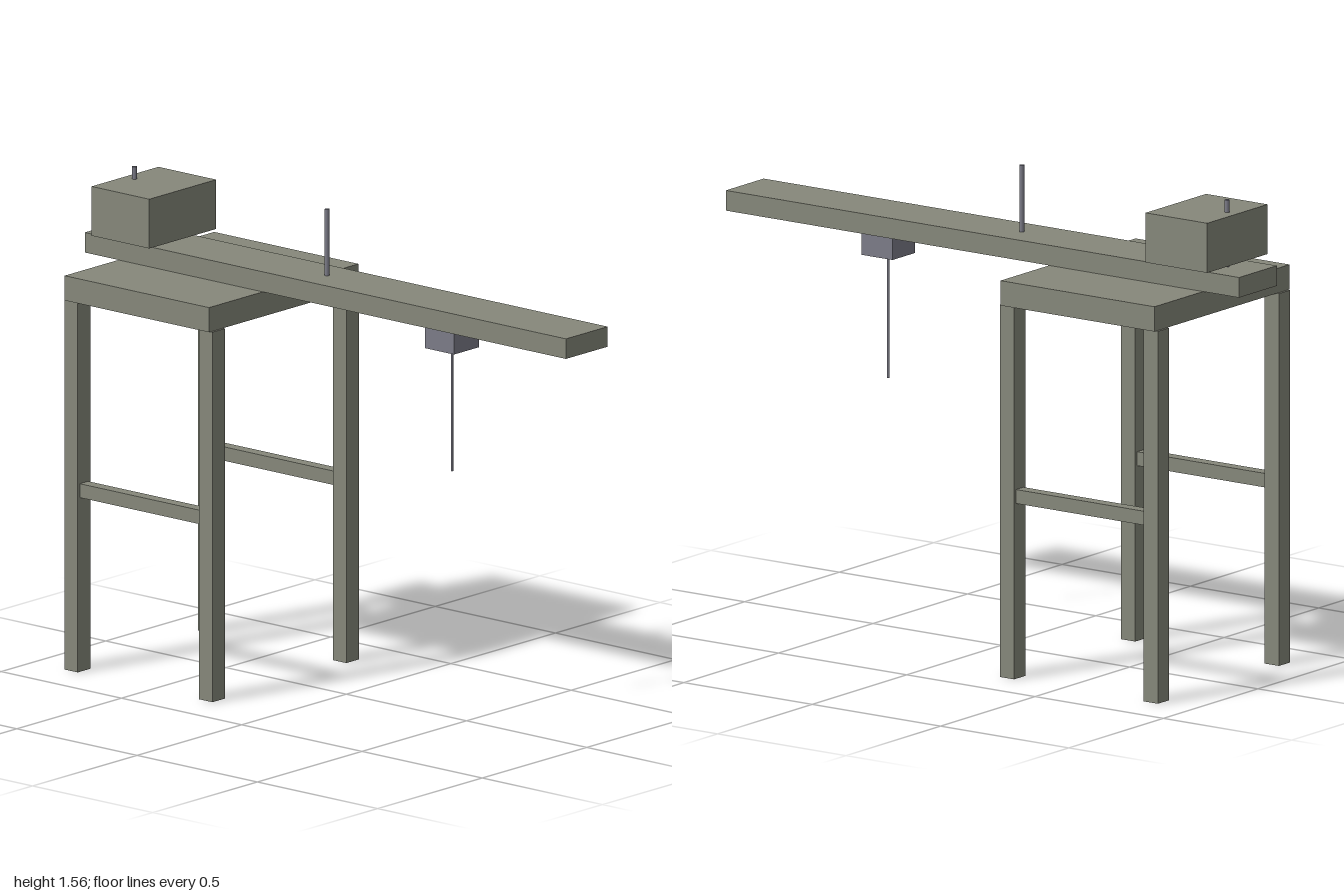
import * as THREE from 'three';

const wood = new THREE.MeshStandardMaterial({ name: 'weathered wood', color: 0x86887b });
const metal = new THREE.MeshStandardMaterial({ name: 'grey metal', color: 0x7c7c88 });

export function createModel() {
  const model = new THREE.Group();
  model.name = 'balanceBeamStand';

  const add = (name, geometry, material, x, y, z) => {
    const mesh = new THREE.Mesh(geometry, material);
    mesh.name = name;
    mesh.position.set(x, y, z);
    model.add(mesh);
  };
  // Box placed by its centre in x and z and its bottom in y
  const box = (name, material, w, h, d, x, bottom, z) =>
    add(name, new THREE.BoxGeometry(w, h, d), material, x, bottom + h / 2, z);
  // Upright round bar between two heights
  const rod = (name, radius, y0, y1, z) =>
    add(name, new THREE.CylinderGeometry(radius, radius, y1 - y0, 12), metal, 0, (y0 + y1) / 2, z);

  // Table: top, four legs and a rail on each side
  const tableZ = -0.56;
  box('tableTop', wood, 0.715, 0.08, 0.6, 0, 1.2, tableZ);
  for (const [side, sx] of [['left', 1], ['right', -1]]) {
    for (const [end, sz] of [['Front', 1], ['Back', -1]]) {
      box(side + end + 'Leg', wood, 0.06, 1.2, 0.056, sx * 0.32, 0, tableZ + sz * 0.28);
    }
    box(side + 'Rail', wood, 0.04, 0.045, 0.504, sx * 0.32, 0.565, tableZ);
  }

  // Long beam reaching out over the front, with its counterweight
  box('beam', wood, 0.2, 0.065, 2, 0, 1.28, 0);
  box('counterweight', wood, 0.32, 0.16, 0.24, 0, 1.36, -0.8);

  // Upright pins on the beam
  rod('frontPin', 0.008, 1.34, 1.56, -0.08);
  rod('backPin', 0.008, 1.34, 1.56, -0.88);

  // Holder under the beam with a thin hanging rod
  box('holder', metal, 0.12, 0.08, 0.12, 0, 1.2, 0.44);
  rod('hangingRod', 0.004, 0.8, 1.2, 0.44);

  return model;
}
